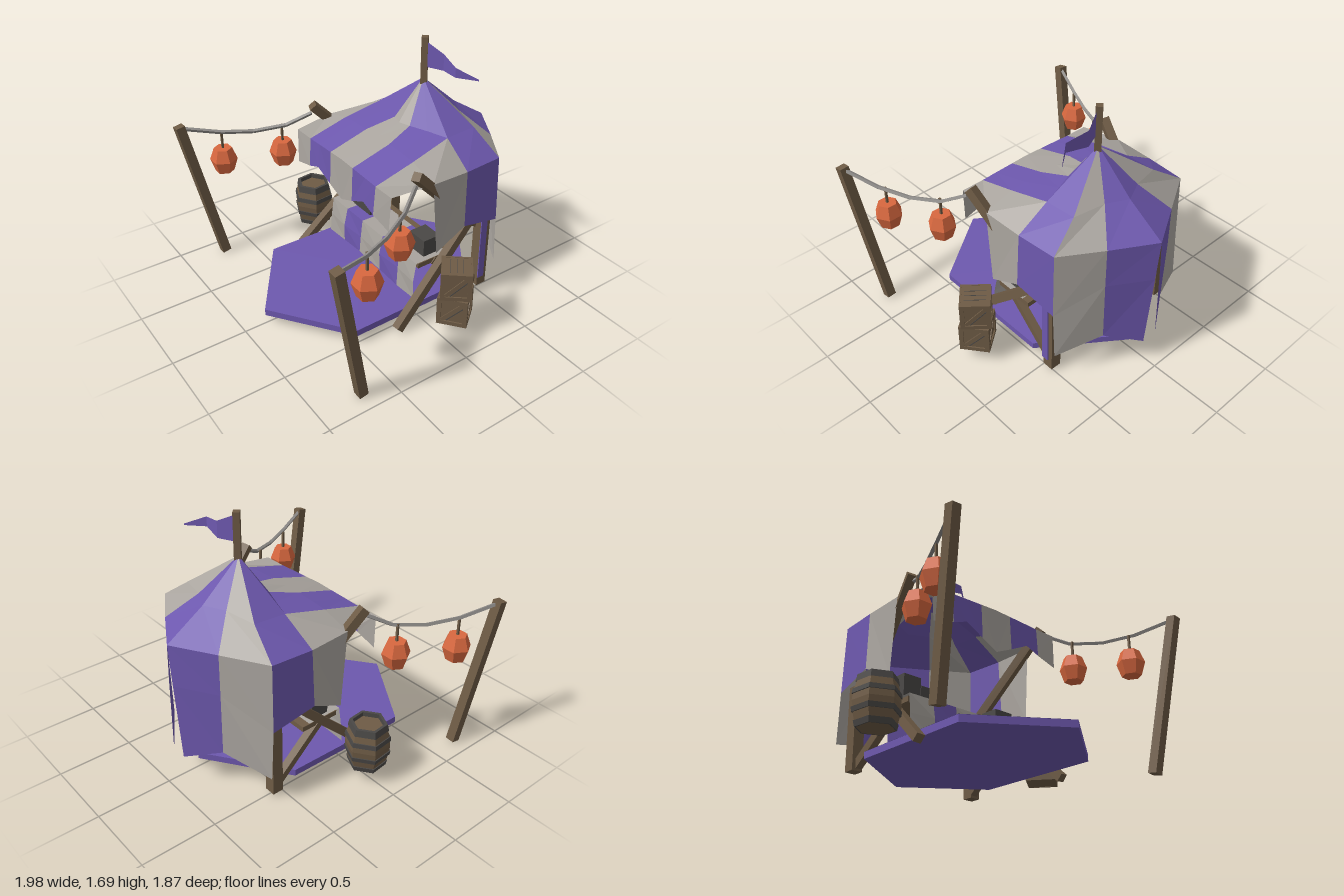
import * as THREE from 'three';

const mat = (name, color) => new THREE.MeshStandardMaterial({ name, color, flatShading: true, side: THREE.DoubleSide });

export function createModel() {
  const purple = mat('purple cloth', 0x6d58ae);
  const grey = mat('pale cloth', 0xaaa59f);
  const wood = mat('wood', 0x6e5b45);
  const dark = mat('dark wood', 0x4a4846);
  const orange = mat('lantern orange', 0xd9683f);
  const rope = mat('rope', 0x8f8c89);
  const root = new THREE.Group();
  root.name = 'marketTent';

  const group = (name, parent = root) => {
    const g = new THREE.Group();
    g.name = name;
    parent.add(g);
    return g;
  };
  const add = (parent, name, geo, material, x = 0, y = 0, z = 0) => {
    const m = new THREE.Mesh(geo, material);
    m.name = name;
    m.position.set(x, y, z);
    parent.add(m);
    return m;
  };
  const box = (parent, name, material, w, h, d, x, y, z) =>
    add(parent, name, new THREE.BoxGeometry(w, h, d), material, x, y, z);

  // square timber between two points
  const beam = (parent, name, material, a, b, w) => {
    const p = new THREE.Vector3(...a), q = new THREE.Vector3(...b);
    const dir = q.clone().sub(p);
    const m = box(parent, name, material, w, dir.length(), w, 0, 0, 0);
    m.position.copy(p).add(q).multiplyScalar(0.5);
    m.quaternion.setFromUnitVectors(new THREE.Vector3(0, 1, 0), dir.normalize());
    return m;
  };

  // strip of cloth between two polylines of equal length; s mirrors x
  const cloth = (parent, name, material, a, b, s = 1) => {
    const pos = [];
    for (let i = 0; i + 1 < a.length; i++) {
      const quad = [a[i], b[i], b[i + 1], a[i], b[i + 1], a[i + 1]];
      if (s < 0) quad.reverse();
      quad.forEach(([x, y, z]) => pos.push(x * s, y, z));
    }
    const g = new THREE.BufferGeometry();
    g.setAttribute('position', new THREE.Float32BufferAttribute(pos, 3));
    g.computeVertexNormals();
    return add(parent, name, g, material);
  };

  // tent: each seam runs apex, middle, eave, hem; the left side hangs a little closer in
  const tent = group('tent');
  tent.position.x = -0.015;
  const apex = [0, 1.41, -0.41], cornerMid = [0.345, 1.14, -0.34], eaveFront = [0.575, 1.015, -0.05];
  const back = [apex, [0, 1.17, -0.68], [0, 1, -0.94], [0.02, 0.72, -0.935], [0.055, 0.2, -0.92]];
  const backHalf = [apex, [0.14, 1.17, -0.61], [0.28, 1, -0.775], [0.28, 0.72, -0.775], [0.27, 0.29, -0.77]];
  const front = [
    [apex, cornerMid, eaveFront, [0.53, 1, 0.23], [0.52, 0.76, 0.24]],
    [apex, cornerMid, [0.37, 1.075, -0.05], [0.37, 1, 0.23], [0.365, 0.8, 0.245]],
    [apex, [0.2, 1.142, -0.29], [0.26, 1.085, -0.05], [0.26, 1.005, 0.23], [0.26, 0.84, 0.245]],
    [apex, [0.08, 1.142, -0.245], [0.125, 1.09, -0.05], [0.125, 1.01, 0.23], [0.125, 0.775, 0.24]],
    [apex, [0, 1.142, -0.22], [0, 1.09, -0.05], [0, 1.015, 0.23], [0, 0.72, 0.235]],
  ];
  for (const s of [1, -1]) {
    const inset = s > 0 ? 0.02 : 0;
    const corner = [apex, [0.34, 1.15, -0.56], [0.56 - inset, 1, -0.61],
      [0.572 - inset, 0.54, -0.615], [0.572 - inset, 0.2, -0.63]];
    const sideB = [apex, cornerMid, [0.58 - inset, 1, -0.33], [0.595 - inset, 0.61, -0.32]];
    const sideC = [cornerMid, eaveFront, [0.58, 0.5, -0.09]];
    cloth(tent, 'backPanel', purple, back, backHalf, s);
    cloth(tent, 'backCornerPanel', grey, backHalf, corner, s);
    cloth(tent, 'sidePanel', purple, corner.slice(0, 4), sideB, s);
    cloth(tent, 'sideFrontPanel', grey, sideB.slice(1), sideC, s);
    [grey, purple, purple, grey].forEach((m, i) => cloth(tent, 'awningStripe', m, front[i], front[i + 1], s));
  }

  // mast and pennant
  const mast = beam(root, 'mast', wood, [-0.01, 1.37, -0.41], [-0.01, 1.69, -0.41], 0.042);
  mast.rotateY(Math.PI / 4);
  cloth(root, 'pennant', purple,
    [[0.01, 1.66, -0.41], [0.12, 1.6, -0.46], [0.27, 1.57, -0.43], [0.385, 1.51, -0.52]],
    [[0.01, 1.49, -0.41], [0.12, 1.49, -0.46], [0.27, 1.505, -0.43], [0.385, 1.5, -0.52]]);

  // floor mat: long hexagon with a slightly raised middle
  const rim = [[0, 0.85], [0.51, 0.48], [0.51, -0.4], [0, -0.77], [-0.53, -0.4], [-0.545, 0.48]];
  const shape = new THREE.Shape(rim.map(([x, z]) => new THREE.Vector2(x, -z)));
  const matGeo = new THREE.ExtrudeGeometry(shape, { depth: 0.045, bevelEnabled: false });
  matGeo.rotateX(-Math.PI / 2);
  add(root, 'floorMat', matGeo, purple, 0, 0.065, 0);
  const loop = [...rim, rim[0]].map(([x, z]) => [x, 0.111, z]);
  cloth(root, 'floorMatTop', purple, loop, loop.map(() => [-0.02, 0.125, 0.1]));

  // counter with striped cloth and goods
  const counter = group('counter');
  box(counter, 'counterTop', wood, 0.96, 0.035, 0.28, -0.015, 0.36, -0.17);
  const cols = [-0.5, -0.32, -0.135, 0.1, 0.29, 0.47], hem = [0.12, 0.13, 0.14, 0.13, 0.12, 0.13];
  const drape = cols.map((x, i) => [
    [x, 0.385, -0.26], [x, 0.39, -0.01], [x * 1.01, 0.26, 0.005 + (i % 2) * 0.012], [x * 1.02, hem[i], 0.015]]);
  for (let i = 0; i < 5; i++) cloth(counter, 'counterStripe', i % 2 ? purple : grey, drape[i], drape[i + 1]);
  box(counter, 'goodsBox', dark, 0.13, 0.16, 0.13, -0.415, 0.47, -0.16);
  box(counter, 'goodsBox', dark, 0.19, 0.11, 0.12, -0.255, 0.445, -0.15);
  box(counter, 'goodsBox', dark, 0.15, 0.12, 0.13, 0.36, 0.45, -0.16);

  // timber frame, lantern posts and strings on both sides
  const sideFrame = (s) => {
    const g = group(s > 0 ? 'leftFrame' : 'rightFrame');
    const p = (x, y, z) => [x * s - 0.012, y, z];
    beam(g, 'frontLeg', wood, p(0.582, 0.03, 0.21), p(0.518, 0.61, -0.41), 0.055);
    beam(g, 'awningBeam', wood, p(0.575, 1.12, 0.085), p(0.455, 0.51, -0.5), 0.058);
    beam(g, 'rearPost', wood, p(0.49, 0.02, -0.545), p(0.49, 0.58, -0.55), 0.075);
    beam(g, 'brace', wood, p(0.46, 0.36, -0.15), p(0.48, 0.05, -0.53), 0.05);
    beam(g, 'lanternPost', wood, [0.875 * s, 0.01, 0.7], [0.96 * s, 1.045, 0.9], 0.062);

    const pts = [[0.96, 1.03, 0.9], [0.86, 0.97, 0.65], [0.77, 0.955, 0.45], [0.67, 0.985, 0.25], [0.58, 1.07, 0.1]];
    pts.slice(1).forEach((b, i) => {
      const [a, c] = [pts[i], b].map(([x, y, z]) => [x * s, y, z]);
      beam(g, 'string', rope, a, c, 0.02);
    });
    const profile = [[0, 0.675], [0.065, 0.675], [0.094, 0.765], [0.062, 0.85], [0, 0.85]];
    for (const [x, y, z] of [[0.845, 0, 0.635 - 0.012 * s], [0.675, 0.02, 0.275]]) {
      const geo = new THREE.LatheGeometry(profile.map(([r, h]) => new THREE.Vector2(r, h)), 6);
      geo.rotateY(Math.PI / 6);
      add(g, 'lantern', geo, orange, x * s - 0.014, y, z);
      box(g, 'lanternCord', wood, 0.014, 0.13, 0.014, x * s - 0.014, 0.905 + y, z);
    }
  };
  sideFrame(1);
  sideFrame(-1);
  box(root, 'clothScrap', purple, 0.008, 0.47, 0.05, 0.522, 0.325, -0.53);

  // six-sided barrel
  const barrel = group('barrel');
  barrel.position.set(-0.745, 0.1, 0.01);
  barrel.rotation.y = 0.1;
  const turn = (name, material, pts) => add(barrel, name,
    new THREE.LatheGeometry(pts.map(([r, y]) => new THREE.Vector2(r, y)), 6), material);
  turn('staves', wood, [[0, 0], [0.115, 0], [0.137, 0.09], [0.144, 0.155], [0.137, 0.22], [0.115, 0.3]]);
  turn('lid', wood, [[0.105, 0.285], [0, 0.285]]);
  turn('rim', dark, [[0.13, 0.27], [0.12, 0.315], [0.1, 0.315], [0.1, 0.28]]);
  turn('lowerRim', dark, [[0.112, 0], [0.122, 0], [0.131, 0.035], [0.122, 0.035]]);
  turn('hoop', dark, [[0.13, 0.085], [0.143, 0.085], [0.148, 0.115], [0.135, 0.115]]);
  turn('hoop', dark, [[0.135, 0.195], [0.148, 0.195], [0.143, 0.225], [0.13, 0.225]]);

  // stacked crates with framed sides and diagonal battens
  const crate = (y, turnY) => {
    const g = group('crate');
    g.position.set(0.735, y, -0.12);
    g.rotation.y = turnY;
    box(g, 'crateCore', wood, 0.178, 0.196, 0.178, 0, 0, 0);
    for (let i = 0; i < 4; i++) {
      const f = group('crateSide', g);
      f.rotation.y = i * Math.PI / 2;
      for (const s of [-1, 1]) {
        box(f, 'rail', wood, 0.194, 0.028, 0.012, 0, s * 0.086, 0.092);
        box(f, 'stile', wood, 0.028, 0.146, 0.012, s * 0.083, 0, 0.092);
      }
      const batten = box(f, 'batten', wood, 0.024, 0.19, 0.01, 0, 0, 0.091);
      batten.rotation.z = -0.76;
      const shade = box(f, 'battenGap', dark, 0.006, 0.15, 0.004, 0.016, -0.016, 0.089);
      shade.rotation.z = -0.76;
    }
    for (const x of [-0.04, 0, 0.04]) box(g, 'plankGap', dark, 0.004, 0.003, 0.14, x, 0.098, 0);
  };
  crate(0.192, 0.66);
  crate(0.391, 0.86);

  return root;
}
